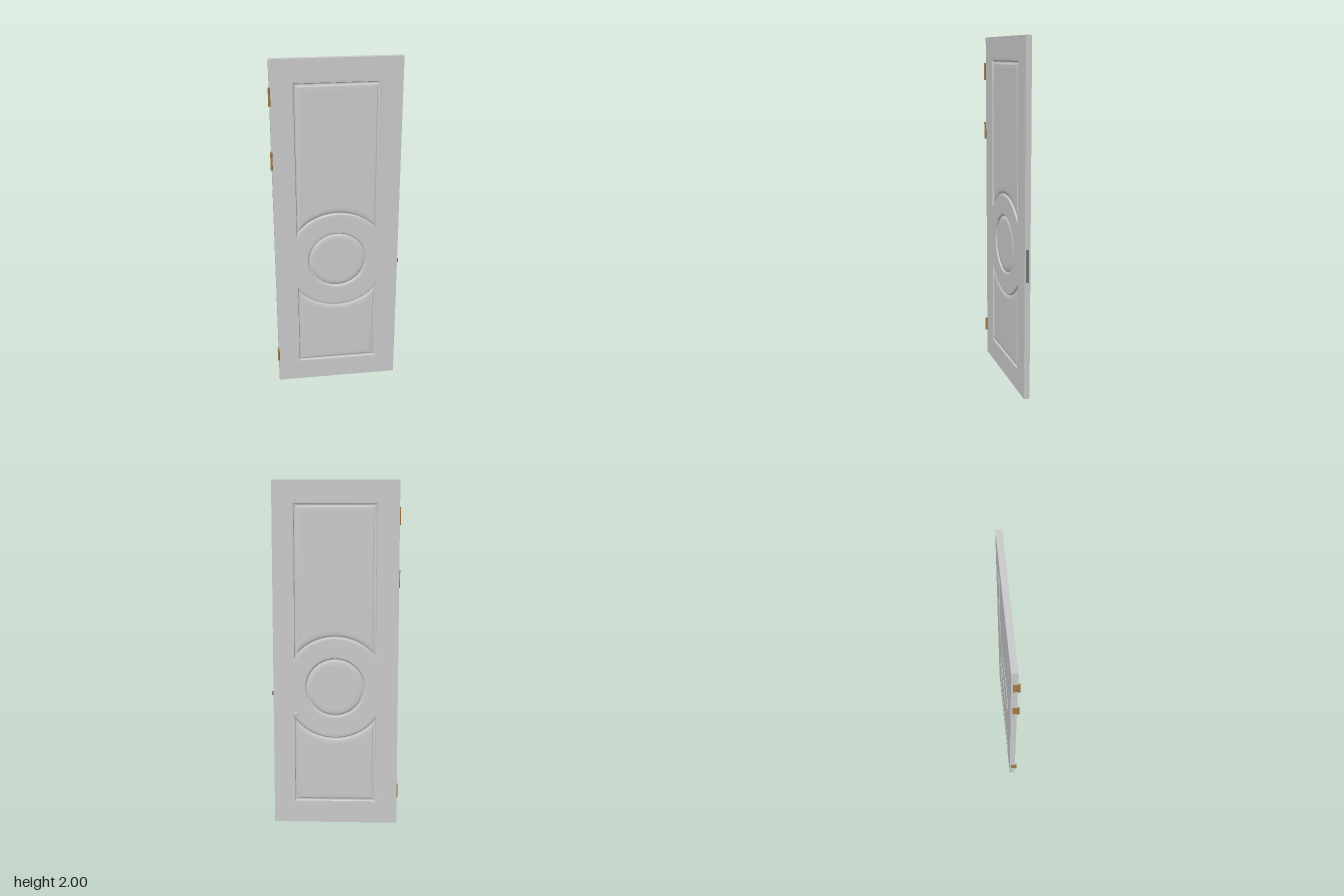
import * as THREE from 'three';
import { toCreasedNormals } from 'three/addons/utils/BufferGeometryUtils.js';

const LEFT = -0.365, RIGHT = 0.36, BACK = -0.022, FRONT = 0.011;
const MID = (BACK + FRONT) / 2, HALF = (FRONT - BACK) / 2;
const CENTRE_Y = 0.815;

const grey = new THREE.MeshStandardMaterial({ color: 0xcccccc });
const brass = new THREE.MeshStandardMaterial({ color: 0xa87b45 });
const steel = new THREE.MeshStandardMaterial({ color: 0x777777 });

// Moulding section: [distance in from the outline, depth below the door face]
const PROFILE = [[0, 0], [0.011, 0.001], [0.014, 0.007], [0.019, 0.009], [0.025, 0.0075],
  [0.03, 0.004], [0.036, 0.0025], [0.044, 0.003], [0.05, 0.002]];

function mesh(name, geometry, material) {
  const m = new THREE.Mesh(geometry, material);
  m.name = name;
  return m;
}

// Counter-clockwise panel outline moved inwards by d; side 1 = above the medallion, -1 = below
function archOutline(side, endY, radius, d) {
  const w = 0.248 - d, r = radius + d, end = endY - side * d;
  const a = Math.acos(w / r), pts = [];
  for (let i = 0; i <= 40; i++) {
    const t = a + (Math.PI - 2 * a) * i / 40;
    pts.push(new THREE.Vector2(r * Math.cos(t), CENTRE_Y + side * r * Math.sin(t)));
  }
  pts.push(new THREE.Vector2(-w, end), new THREE.Vector2(w, end));
  return side > 0 ? pts.reverse() : pts;
}

function circleOutline(d) {
  const pts = [];
  for (let i = 0; i < 64; i++) {
    const t = i / 64 * Math.PI * 2, r = 0.185 - d;
    pts.push(new THREE.Vector2(r * Math.cos(t), CENTRE_Y + r * Math.sin(t)));
  }
  return pts;
}

// Sweep the section around an outline
function mouldingGeometry(outline) {
  const rings = PROFILE.map(([d, depth]) =>
    outline(d).map(p => new THREE.Vector3(p.x, p.y, HALF - depth)));
  const pos = [];
  for (let k = 0; k < rings.length - 1; k++) {
    const a = rings[k], b = rings[k + 1];
    for (let i = 0; i < a.length; i++) {
      const j = (i + 1) % a.length;
      for (const v of [a[i], a[j], b[j], a[i], b[j], b[i]]) pos.push(v.x, v.y, v.z);
    }
  }
  const g = new THREE.BufferGeometry();
  g.setAttribute('position', new THREE.Float32BufferAttribute(pos, 3));
  return toCreasedNormals(g, 0.5);
}

export function createModel() {
  const model = new THREE.Group();
  model.name = 'panelDoor';
  const panels = {
    upperPanel: d => archOutline(1, 1.88, 0.278, d),
    medallion: circleOutline,
    lowerPanel: d => archOutline(-1, 0.12, 0.282, d),
  };

  // Door slab with an opening for each panel
  const slab = new THREE.Shape([
    new THREE.Vector2(LEFT, 0), new THREE.Vector2(RIGHT, 0),
    new THREE.Vector2(RIGHT, 2), new THREE.Vector2(LEFT, 2)]);
  for (const outline of Object.values(panels)) slab.holes.push(new THREE.Path(outline(0).reverse()));
  const frame = mesh('doorFrame',
    new THREE.ExtrudeGeometry(slab, { depth: FRONT - BACK, bevelEnabled: false }), grey);
  frame.position.z = BACK;
  model.add(frame);

  // Mouldings and fields on both faces
  for (const face of ['front', 'back']) {
    const group = new THREE.Group();
    group.name = face + 'Panels';
    group.position.z = MID;
    if (face === 'back') group.rotation.y = Math.PI;
    for (const [name, outline] of Object.entries(panels)) {
      const [d, depth] = PROFILE[PROFILE.length - 1];
      const field = mesh(name + 'Field', new THREE.ShapeGeometry(new THREE.Shape(outline(d))), grey);
      field.position.z = HALF - depth;
      group.add(mesh(name + 'Moulding', mouldingGeometry(outline), grey), field);
    }
    model.add(group);
  }

  // Hinges: knuckle and thin leaf
  for (const [y, h] of [[1.8, 0.1], [1.445, 0.1], [0.19, 0.08]]) {
    const hinge = new THREE.Group();
    hinge.name = 'hinge';
    hinge.position.set(LEFT - 0.001, y, 0.017);
    const leaf = mesh('hingeLeaf', new THREE.BoxGeometry(0.002, h, 0.03), brass);
    leaf.position.z = -0.015;
    hinge.add(mesh('hingeKnuckle', new THREE.CylinderGeometry(0.006, 0.006, h, 20), brass), leaf);
    model.add(hinge);
  }

  // Latch plate and wedge-shaped bolt on the free edge
  const plate = mesh('latchPlate', new THREE.BoxGeometry(0.002, 0.185, 0.017), steel);
  plate.position.set(RIGHT, 0.778, -0.004);
  const wedge = new THREE.Shape([
    new THREE.Vector2(0, 0), new THREE.Vector2(0.011, 0.011), new THREE.Vector2(0, 0.011)]);
  const bolt = mesh('latchBolt', new THREE.ExtrudeGeometry(wedge, { depth: 0.022, bevelEnabled: false }), steel);
  bolt.rotation.x = -Math.PI / 2;
  bolt.position.set(RIGHT, 0.768, 0);
  model.add(plate, bolt);

  // Small low button on the back face
  const button = mesh('backButton', new THREE.SphereGeometry(0.015, 20, 12), grey);
  button.scale.z = 0.15;
  button.position.set(0.23, 0.655, BACK);
  model.add(button);
  return model;
}
